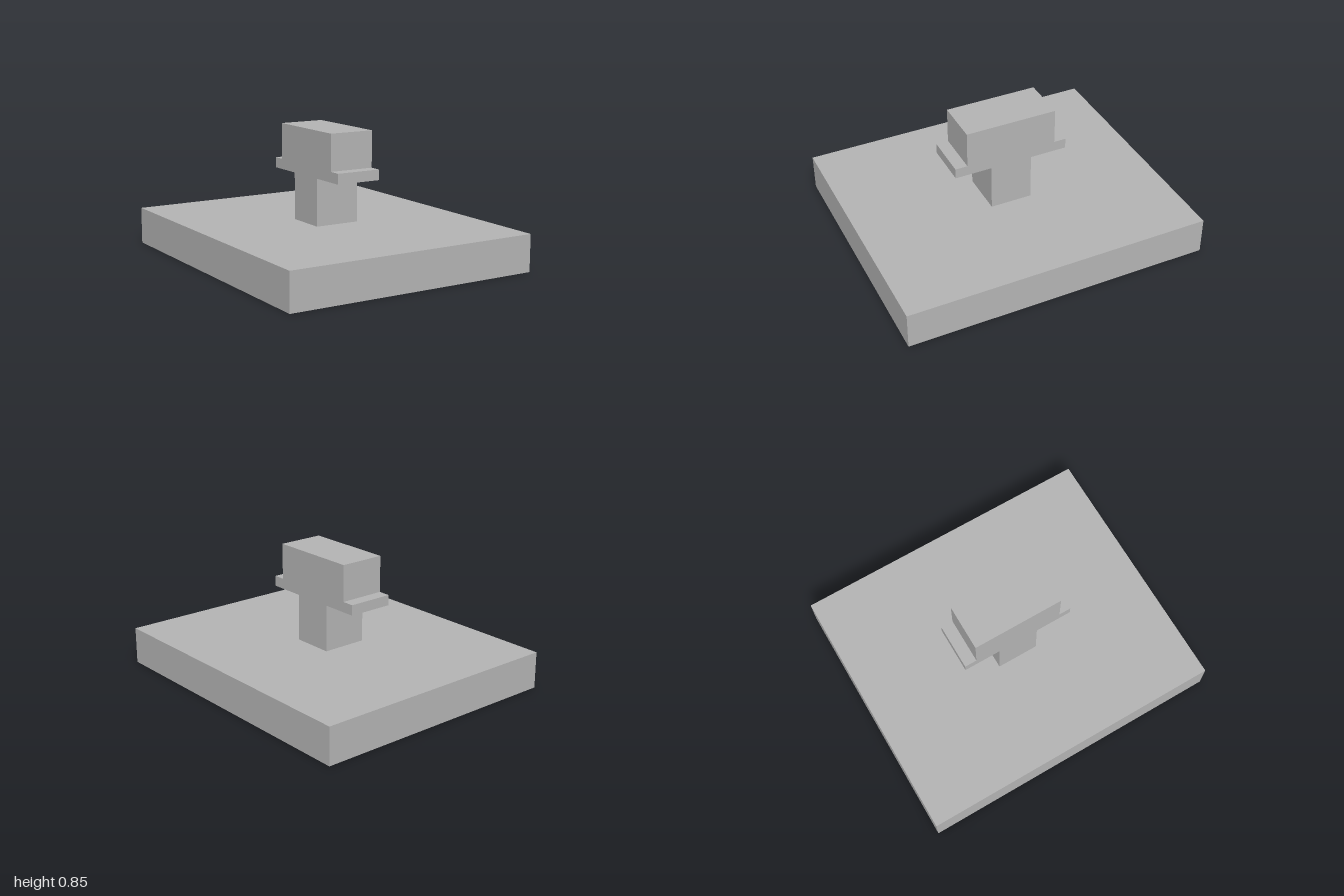
import * as THREE from 'three';

export function createModel() {
  const model = new THREE.Group();
  const grey = new THREE.MeshStandardMaterial({ color: 0xb3b3b3 });
  grey.name = 'grey';

  const add = (name, geometry) => {
    const mesh = new THREE.Mesh(geometry, grey);
    mesh.name = name;
    model.add(mesh);
    return mesh;
  };

  // Wide slab standing on the ground
  const baseHeight = 0.24;
  add('base', new THREE.BoxGeometry(1.7, baseHeight, 2)).position.y = baseHeight / 2;

  // Stepped post: narrow stem, thin flange and block head, as [half depth, y]
  const half = [
    [0.137, baseHeight], [0.137, 0.545], [0.38, 0.545],
    [0.38, 0.612], [0.3, 0.612], [0.3, 0.847],
  ];
  const mirrored = half.map(([z, y]) => [-z, y]).reverse();
  const profile = new THREE.Shape([...half, ...mirrored].map(([z, y]) => new THREE.Vector2(z, y)));
  const width = 0.3;
  const post = new THREE.ExtrudeGeometry(profile, { depth: width, bevelEnabled: false });
  post.translate(0, 0, -width / 2).rotateY(-Math.PI / 2);
  add('post', post);

  return model;
}
